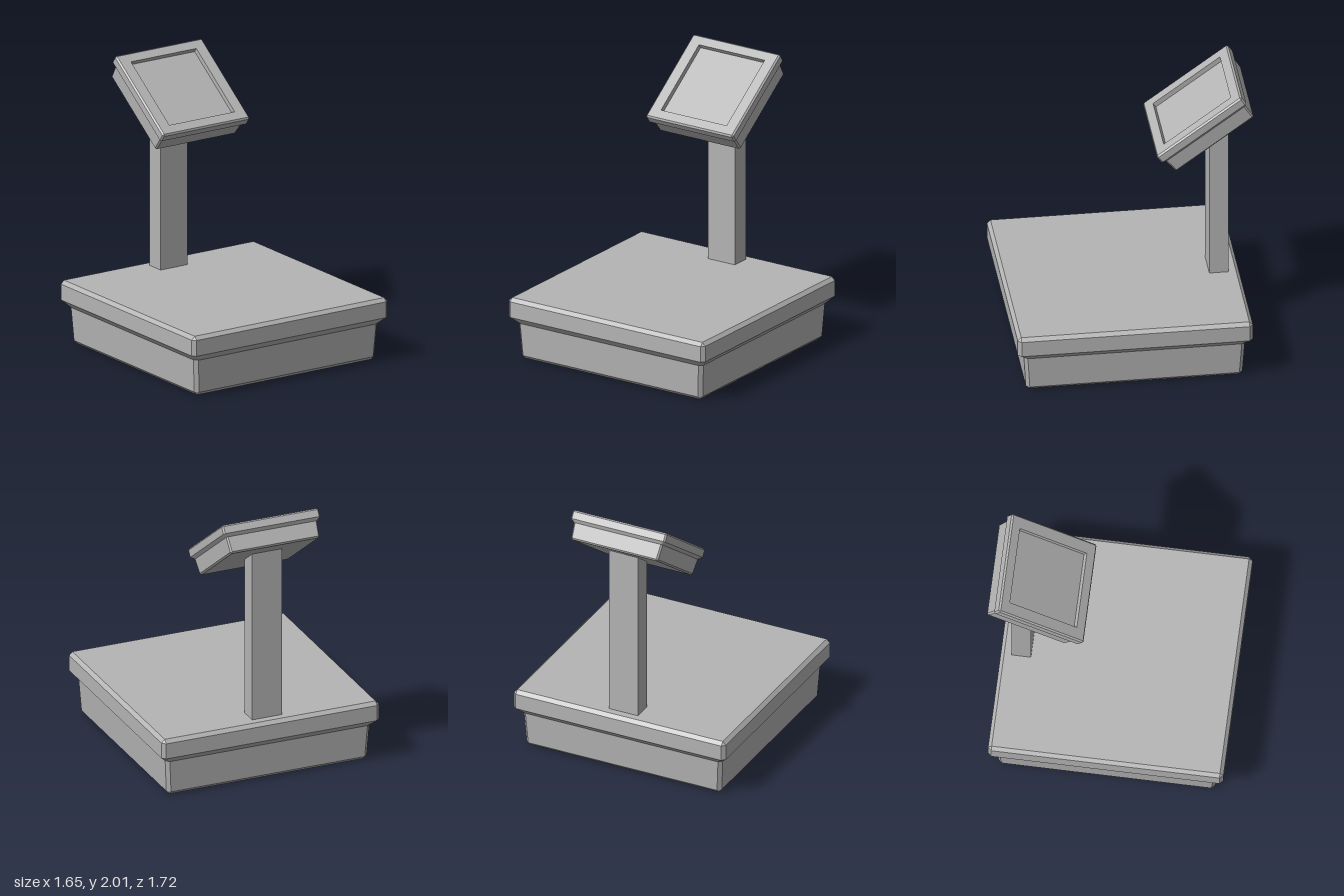
import * as THREE from 'three';

const gray = new THREE.MeshStandardMaterial({ color: 0xb4b4b4 });
gray.name = 'plain gray';

// Outline of a square housing: [height, half width, corner chamfer]
const PROFILE = [
  [0, 0.735, 0], [0.025, 0.76, 0.025], [0.265, 0.775, 0.025],
  [0.315, 0.825, 0.025], [0.43, 0.825, 0.025], [0.455, 0.8, 0],
];

// Eight corners of a chamfered rectangle, counter-clockwise seen from above
function ring(y, hx, hz, c) {
  return [
    [hx, hz - c], [hx, -hz + c], [hx - c, -hz], [-hx + c, -hz],
    [-hx, -hz + c], [-hx, hz - c], [-hx + c, hz], [hx - c, hz],
  ].map(([x, z]) => [x, y, z]);
}

// Flat-faced skin through the rings, with optional end caps
function loft(rings, capBottom, capTop) {
  const pos = [];
  const tri = (a, b, c) => pos.push(...a, ...b, ...c);
  for (let k = 0; k < rings.length - 1; k++) {
    const lo = rings[k], hi = rings[k + 1];
    for (let i = 0; i < 8; i++) {
      const j = (i + 1) % 8;
      tri(lo[i], lo[j], hi[j]);
      tri(lo[i], hi[j], hi[i]);
    }
  }
  const first = rings[0], last = rings[rings.length - 1];
  for (let i = 1; i < 7; i++) {
    if (capBottom) tri(first[0], first[i + 1], first[i]);
    if (capTop) tri(last[0], last[i], last[i + 1]);
  }
  const g = new THREE.BufferGeometry();
  g.setAttribute('position', new THREE.Float32BufferAttribute(pos, 3));
  g.computeVertexNormals();
  return g;
}

function housing(scale, capTop) {
  const s = scale;
  return loft(PROFILE.map(([y, h, c]) => ring(y * s, h * s, h * s, c * s)), true, capTop);
}

function add(parent, name, geometry, x = 0, y = 0, z = 0) {
  const mesh = new THREE.Mesh(geometry, gray);
  mesh.name = name;
  mesh.position.set(x, y, z);
  parent.add(mesh);
  return mesh;
}

function rectangle(shape, hx, hz) {
  shape.moveTo(-hx, -hz).lineTo(hx, -hz).lineTo(hx, hz).lineTo(-hx, hz).closePath();
  return shape;
}

export function createModel() {
  const model = new THREE.Group();
  model.name = 'platformWithDisplay';

  // Wide platform and the post at its back edge
  add(model, 'platform', housing(1, true), 0, 0, 0.037);
  add(model, 'post', new THREE.BoxGeometry(0.226, 1.285, 0.135), 0, 1.0925, -0.6425);

  // Tilted display: a smaller housing with a sunken screen
  const scale = 0.445, top = 0.455 * scale, rim = 0.8 * scale;
  const sx = 0.276, sz = 0.29, depth = 0.035;
  const display = new THREE.Group();
  display.name = 'display';
  display.position.set(0, 1.633, -0.586);
  display.rotation.x = THREE.MathUtils.degToRad(36);
  model.add(display);

  add(display, 'displayHousing', housing(scale, false));

  const frame = rectangle(new THREE.Shape(), rim, rim);
  frame.holes.push(rectangle(new THREE.Path(), sx, sz));
  add(display, 'screenFrame', new THREE.ShapeGeometry(frame).rotateX(-Math.PI / 2), 0, top, 0);

  // Rings listed from the top down, so the walls face inward
  const walls = loft([ring(top, sx, sz, 0), ring(top - depth, sx, sz, 0)], false, false);
  add(display, 'screenRecess', walls);
  add(display, 'screen', new THREE.PlaneGeometry(sx * 2, sz * 2).rotateX(-Math.PI / 2), 0, top - depth, 0);

  return model;
}
